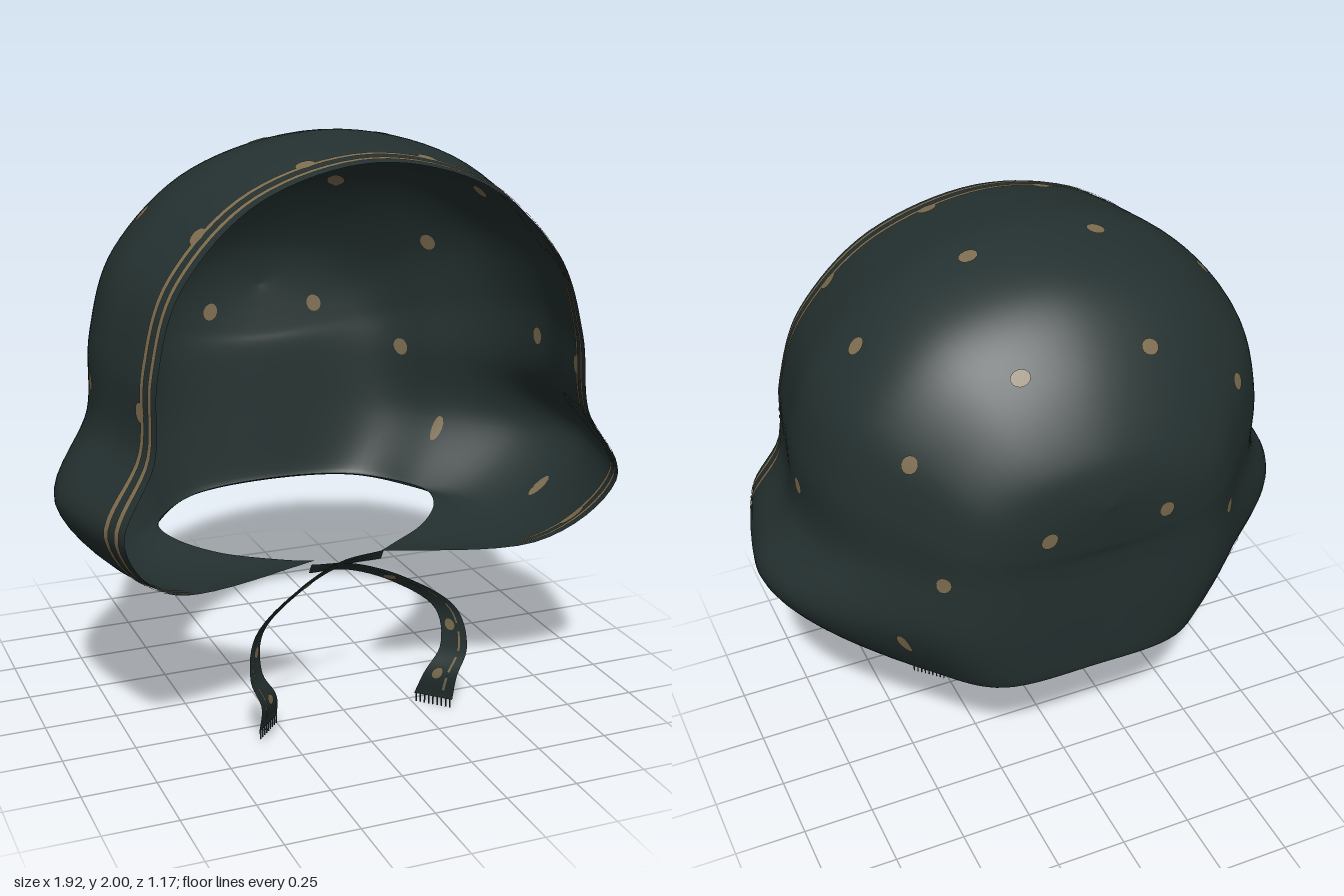
import * as THREE from 'three';
import { mergeVertices, mergeGeometries } from 'three/addons/utils/BufferGeometryUtils.js';

const { lerp, clamp } = THREE.MathUtils;

// Half profile of the hood at its widest, crown to chin edge
const PROFILE = [[0, 2], [.42, 1.9], [.7, 1.65], [.8, 1.37], [.825, 1.1], [.955, .85], [.7, .585], [.38, .575]];
// Stations from front rim to centre back
const STATIONS = [
  { width: .9, crown: 1.95, flare: .85, edge: .12, z: [.5, .58, .29], lift: .02 },
  { width: .96, crown: 1.985, flare: .925, edge: .2, z: [.3, .35, .2], lift: 0 },
  { width: 1, crown: 2, flare: .955, edge: .38, z: [.08, .12, .06], lift: 0 },
  { width: .93, crown: 1.93, flare: .86, edge: .5, z: [-.2, -.1, -.1], lift: .015 },
  { width: .73, crown: 1.76, flare: .64, edge: .5, z: [-.4, -.31, -.26], lift: .025 },
  { width: .47, crown: 1.52, flare: .4, edge: .3, z: [-.55, -.49, -.44], lift: .04 },
  { width: 0, crown: 1.35, flare: 0, edge: 0, z: [-.58, -.515, -.475], lift: .05 },
];
const LAST = STATIONS.length - 1;
const COLS = PROFILE.length - 1;

// Control point: the profile fitted to a station, mirrored and reflected past the centre back
function control(i, j) {
  let flip = j < 0 ? -1 : 1;
  if (i > LAST) { i = 2 * LAST - i; flip = -flip; }
  const s = STATIONS[Math.max(0, i)], c = Math.min(COLS, Math.abs(j));
  const [px, py] = PROFILE[c];
  const x = c === 5 ? s.flare : c === COLS ? s.edge : px * s.width;
  const y = py > 1.1 ? 1.1 + (py - 1.1) * (s.crown - 1.1) / .9 : py + (c > 5 ? s.lift : 0);
  const z = c < 6 ? lerp(s.z[0], s.z[1], (c / 5) ** 1.5) : lerp(s.z[1], s.z[2], (c - 5) / 2);
  return [x * flip, y, z];
}
function catmull(a, b, c, d, t) {
  return a.map((_, k) => b[k] + .5 * t * (c[k] - a[k] + t * (2 * a[k] - 5 * b[k] + 4 * c[k] - d[k]
    + t * (3 * (b[k] - c[k]) + d[k] - a[k]))));
}
// Smooth hood surface, u: rim to centre back, v: edge to edge over the crown
function hoodAt(u, v) {
  const i = clamp(Math.floor(u), 0, LAST - 1);
  const j = clamp(Math.floor(v), -COLS, COLS - 1);
  const row = (r) => catmull(control(r, j - 1), control(r, j), control(r, j + 1), control(r, j + 2), v - j);
  return new THREE.Vector3(...catmull(row(i - 1), row(i), row(i + 1), row(i + 2), u - i));
}

// Surface point pushed off along the surface normal
function offsetPoint(S, u, v, off) {
  const p = S(u, v);
  if (!off) return p;
  const e = .01;
  const du = S(u + e, v).sub(S(u - e, v)), dv = S(u, v + e).sub(S(u, v - e));
  return p.addScaledVector(du.cross(dv).normalize(), off);
}
function build(points, index) {
  const g = new THREE.BufferGeometry().setFromPoints(points);
  g.setIndex(index);
  const merged = mergeVertices(g, 1e-4);
  merged.computeVertexNormals();
  return merged;
}
// Rectangular piece of a surface
function patch(S, u0, u1, nu, v0, v1, nv, off = 0) {
  const pts = [], idx = [];
  for (let i = 0; i <= nu; i++) for (let j = 0; j <= nv; j++) {
    pts.push(offsetPoint(S, lerp(u0, u1, i / nu), lerp(v0, v1, j / nv), off));
    if (i < nu && j < nv) {
      const a = i * (nv + 1) + j, b = a + nv + 1;
      idx.push(a, b, a + 1, b, b + 1, a + 1);
    }
  }
  return build(pts, idx);
}
// Round spot draped over a surface
function spot(S, u, v, ru, rv, off) {
  const e = .01, n = 14;
  const lu = S(u + e, v).distanceTo(S(u - e, v)) / (2 * e);
  const lv = S(u, v + e).distanceTo(S(u, v - e)) / (2 * e);
  const pts = [offsetPoint(S, u, v, off)], idx = [];
  for (let k = 0; k < n; k++) {
    const a = k / n * Math.PI * 2;
    pts.push(offsetPoint(S, u + Math.cos(a) * ru / lu, v + Math.sin(a) * rv / lv, off));
    idx.push(0, 1 + k, 1 + (k + 1) % n);
  }
  return build(pts, idx);
}

// Spots on one half of the hood, as surface coordinates
const SPOTS = [
  [2.2, .5], [3.85, .65], [5.45, 2.3], [2.3, 1.6], [3.75, 2.1], [4.5, 4], [2.1, 3.5],
  [4.05, 5.2], [2, 5.6], [.4, 5.6], [.5, .5], [.5, 1.55], [.5, 3.5],
];

// Centre line of one tie ribbon, knot to loose end
const TIE = [[.13, .575, .27], [-.02, .56, .265], [-.19, .5, .305], [-.345, .385, .345], [-.365, .25, .37], [-.32, .15, .365], [-.31, .05, .33]];

export function createModel() {
  const cloth = new THREE.MeshStandardMaterial({ color: 0x243130, side: THREE.DoubleSide });
  cloth.name = 'dark cloth';
  const tan = new THREE.MeshStandardMaterial({ color: 0x7d6d50, side: THREE.DoubleSide });
  tan.name = 'tan print';

  const model = new THREE.Group();
  model.name = 'bonnet';
  const add = (parent, name, geo, mat) => {
    const m = new THREE.Mesh(geo, mat);
    m.name = name;
    parent.add(m);
  };

  // Hood
  add(model, 'hood', patch(hoodAt, 0, LAST, 54, -COLS, COLS, 112), cloth);

  // Rim stripes and spots, printed on both faces
  const stripes = [], spots = [];
  for (const off of [.004, -.004]) {
    for (const [a, b] of [[.17, .28], [.4, .49]]) stripes.push(patch(hoodAt, a, b, 1, -6.1, 6.1, 98, off));
    for (const [u, v] of SPOTS) for (const side of [1, -1]) {
      const low = v > 5;
      spots.push(spot(hoodAt, u, v * side, low ? .02 : .027, low ? .05 : .032, off));
    }
  }
  add(model, 'rimStripes', mergeGeometries(stripes), tan);
  add(model, 'hoodSpots', mergeGeometries(spots), tan);

  // Crossed chin ties with fringed ends
  for (const side of [1, -1]) {
    const tie = new THREE.Group();
    tie.name = side > 0 ? 'rightTie' : 'leftTie';
    const path = new THREE.CatmullRomCurve3(TIE.map(([x, y, z]) =>
      new THREE.Vector3(x * side, y - (side > 0 ? 0 : .02), z + side * .006)));
    // The ribbon twists from nearly upright at the knot to diagonal at the end
    const knotTurn = new THREE.Vector3(0, .02, .012);
    const endTurn = new THREE.Vector3(-.05 * side, 0, .05);
    const ribbonAt = (u, v) => path.getPoint(clamp(u, 0, 1))
      .addScaledVector(knotTurn.clone().lerp(endTurn, clamp(u, 0, 1)), 1 - 2 * v);
    add(tie, 'ribbon', patch(ribbonAt, 0, 1, 40, 0, 1, 4), cloth);

    const print = [], threads = [];
    for (const off of [.003, -.003]) {
      for (let k = 0; k < 7; k++) {
        const u = .1 + k * .125;
        print.push(patch(ribbonAt, u, u + .09, 4, .25, .32, 1, off));
      }
      for (const u of [.3, .57, .83]) print.push(spot(ribbonAt, u, .6, .022, .018, off));
    }
    add(tie, 'ribbonPrint', mergeGeometries(print), tan);

    for (let k = 0; k < 9; k++) {
      const p = ribbonAt(1, (k + .5) / 9);
      threads.push(new THREE.BoxGeometry(.004, .03, .004).translate(p.x, p.y - .015, p.z));
    }
    add(tie, 'fringe', mergeGeometries(threads), cloth);
    model.add(tie);
  }
  return model;
}
